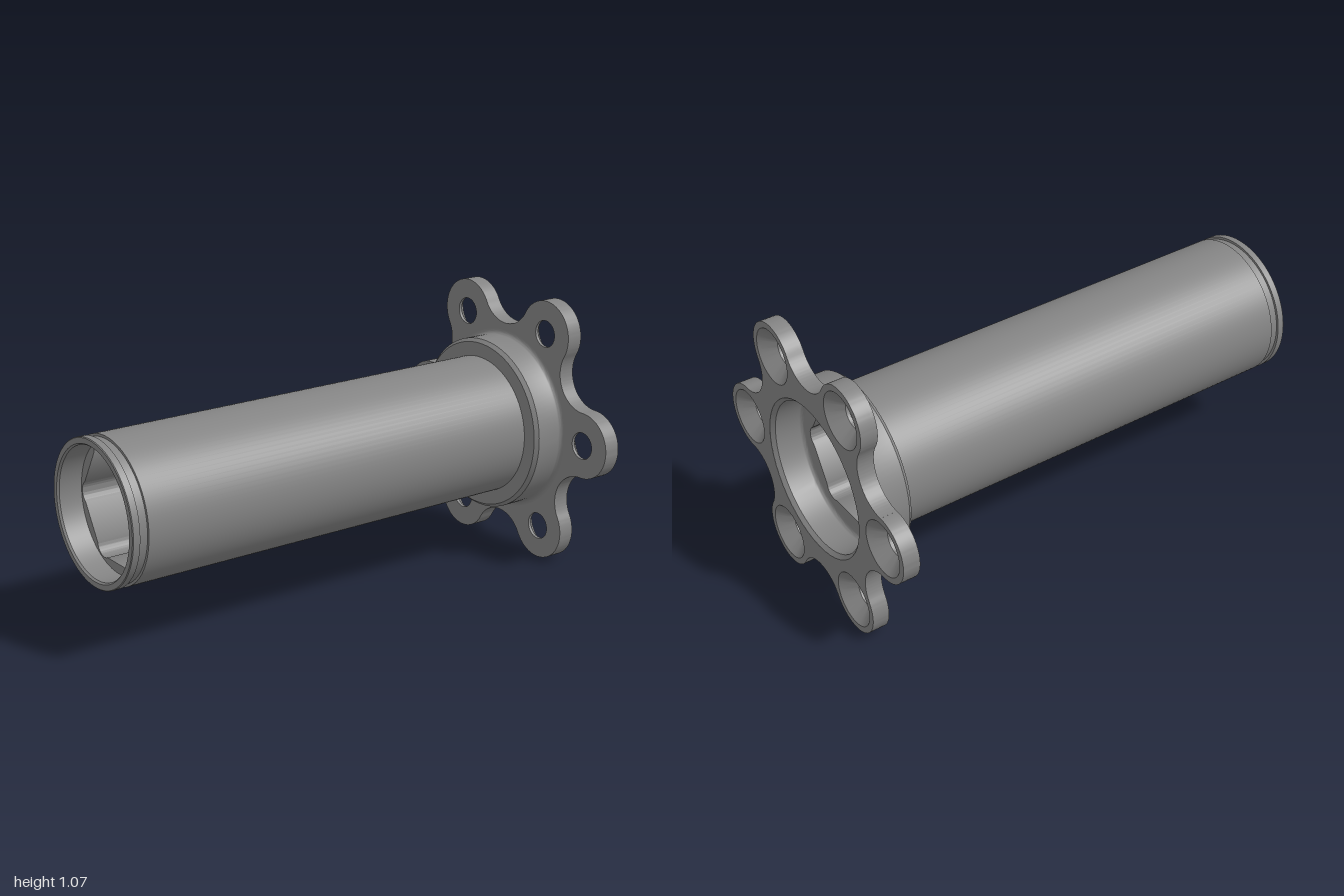
import * as THREE from 'three';
import { toCreasedNormals } from 'three/addons/utils/BufferGeometryUtils.js';

const STEP = Math.PI / 3;
const LOBE_DIST = 0.467, LOBE_R = 0.133;
const BORE_R = 0.255, FLOOR_X = 0.87, BORE_START = -0.9;
const FLANGE_X = 0.933, SINK_X = 0.946;

const polar = (r, a) => [r * Math.cos(a), r * Math.sin(a)];

// Surface of revolution about the x axis from [radius, x] points
function turned(points, segments = 96) {
  const geo = new THREE.LatheGeometry(points.map(([r, x]) => new THREE.Vector2(r, x)), segments);
  geo.rotateZ(-Math.PI / 2);
  return toCreasedNormals(geo, 0.45);
}

// Shape extruded along x between two stations
function extrudedX(shape, x0, x1, curveSegments = 24) {
  const geo = new THREE.ExtrudeGeometry(shape, { depth: x1 - x0, bevelEnabled: false, curveSegments });
  geo.rotateY(Math.PI / 2);
  geo.translate(x0, 0, 0);
  return toCreasedNormals(geo, 0.45);
}

function circlePath(x, y, r) {
  const p = new THREE.Path();
  p.absarc(x, y, r, 0, Math.PI * 2, false);
  return p;
}

// Six-lobed outline with concave arcs between the lobes
function flangeShape(holeR) {
  const shape = new THREE.Shape();
  const dist = 0.534, r = 0.134;
  const [vx, vy] = polar(dist, STEP / 2);
  const t = Math.atan2(vy, vx - LOBE_DIST);
  for (let i = 0; i < 6; i++) {
    const a = i * STEP;
    shape.absarc(...polar(LOBE_DIST, a), LOBE_R, a - t, a + t, false);
    shape.absarc(...polar(dist, a + STEP / 2), r, a + t + Math.PI, a + STEP - t - Math.PI, true);
  }
  shape.holes.push(circlePath(0, 0, 0.312));
  for (let i = 0; i < 6; i++) shape.holes.push(circlePath(...polar(LOBE_DIST, i * STEP), holeR));
  return shape;
}

// Round core pierced by a hexagon with relieved corners
function boreShape() {
  const shape = new THREE.Shape();
  shape.absarc(0, 0, BORE_R, 0, Math.PI * 2, false);
  const hex = new THREE.Path();
  const half = THREE.MathUtils.degToRad(56.7);
  for (let i = 0; i < 6; i++) {
    const a = i * STEP;
    hex.absarc(...polar(0.197, a), 0.047, a - half, a + half, false);
  }
  hex.closePath();
  shape.holes.push(hex);
  return shape;
}

export function createModel() {
  const group = new THREE.Group();
  const metal = new THREE.MeshStandardMaterial({ color: 0x848484 });
  metal.name = 'grey metal';

  const add = (name, geo, parent = group) => {
    const mesh = new THREE.Mesh(geo, metal);
    mesh.name = name;
    parent.add(mesh);
    return mesh;
  };

  // Sleeve with rear counterbore, ring groove and stepped hub
  const hubFillet = [];
  for (let i = 0; i <= 6; i++) {
    const a = (i / 6) * Math.PI / 2;
    hubFillet.push([0.37 - 0.02 * Math.cos(a), 0.913 + 0.02 * Math.sin(a)]);
  }
  add('sleeveAndHub', turned([
    [0.25, BORE_START], [0.25, -0.992], [0.256, -1],
    [0.277, -1], [0.28, -0.997], [0.28, -0.97],
    [0.27, -0.97], [0.27, -0.935], [0.28, -0.935],
    [0.28, 0.8], [0.337, 0.8], [0.35, 0.815], ...hubFillet,
  ]));

  // Front recess: chamfered mouth, straight wall, rounded floor edge
  const floorFillet = [];
  for (let i = 0; i <= 6; i++) {
    const a = (i / 6) * Math.PI / 2;
    floorFillet.push([0.277 + 0.02 * Math.cos(a), FLOOR_X + 0.02 - 0.02 * Math.sin(a)]);
  }
  add('frontRecess', turned([[0.312, 1], [0.297, 0.985], ...floorFillet, [BORE_R, FLOOR_X]]));

  // Hexagonal bore through the sleeve
  add('hexBore', extrudedX(boreShape(), BORE_START, FLOOR_X, 48));

  // Flange in two layers so the screw holes can be countersunk
  const flange = new THREE.Group();
  flange.name = 'flange';
  group.add(flange);
  add('flangeBack', extrudedX(flangeShape(0.054), FLANGE_X, SINK_X), flange);
  add('flangeFront', extrudedX(flangeShape(0.108), SINK_X, 1), flange);

  // Countersinks
  const sink = turned([[0.108, 1], [0.054, SINK_X]], 48);
  for (let i = 0; i < 6; i++) {
    const [z, y] = polar(LOBE_DIST, i * STEP);
    add('countersink', sink, flange).position.set(0, y, z);
  }

  group.position.y = LOBE_DIST * Math.sin(STEP) + LOBE_R;
  return group;
}
